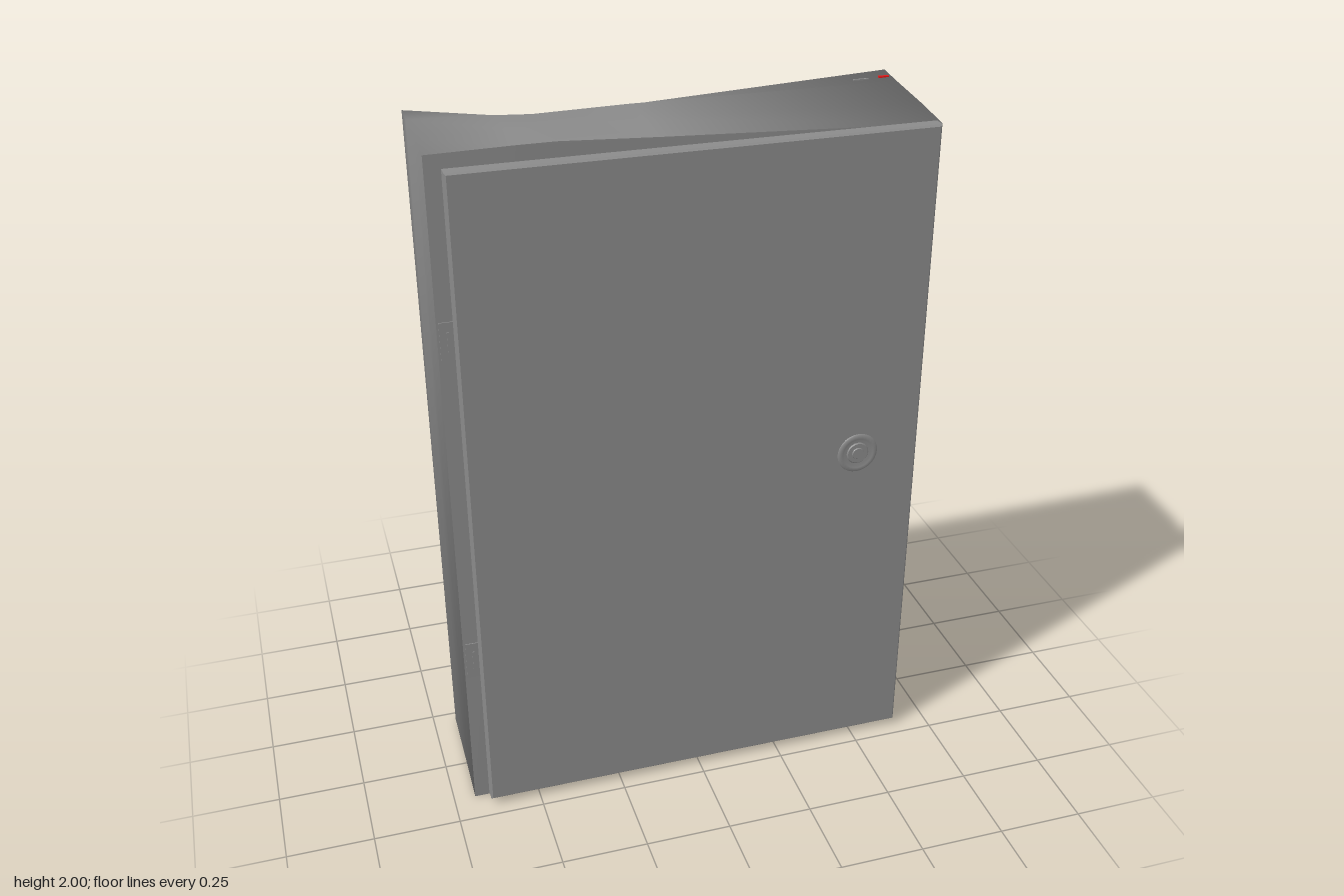
import * as THREE from 'three';

export function createModel() {
  const root = new THREE.Group();
  const grey = new THREE.MeshStandardMaterial({ color: 0x8b8b8b });
  grey.name = 'painted grey steel';
  const red = new THREE.MeshStandardMaterial({ color: 0xff1c1c });
  red.name = 'red marker';

  const add = (name, geometry, material, x = 0, y = 0, z = 0, parent = root) => {
    const mesh = new THREE.Mesh(geometry, material);
    mesh.name = name;
    mesh.position.set(x, y, z);
    parent.add(mesh);
    return mesh;
  };
  const box = (w, h, d) => new THREE.BoxGeometry(w, h, d);

  // Cross-section of the cabinet; tops are heights along the warped top, from +x to -x.
  const topX = [-0.1, -0.36, -0.46];
  const ring = (x0, x1, y0, z, tops) => [
    [x0, y0, z], [x1, y0, z], [x1, tops[0], z],
    ...topX.map((x, i) => [x, tops[i + 1], z]),
    [x0, tops[4], z],
  ];
  const front = ring(-0.688, 0.667, 0.005, 0.157, [1.95, 1.986, 2, 2, 1.997]);
  const rings = [
    front,
    ring(-0.686, 0.664, 0.007, 0.03, [1.967, 1.994, 2, 2, 1.997]),
    ring(-0.684, 0.661, 0.009, -0.13, [1.983, 1.986, 1.982, 1.988, 1.997]),
    ring(-0.683, 0.66, 0.01, -0.212, [1.992, 1.957, 1.942, 1.958, 1.997]),
    ring(-0.64, 0.62, 0.05, -0.212, [1.95, 1.938, 1.93, 1.932, 1.935]),
    ring(-0.64, 0.62, 0.05, -0.172, [1.95, 1.938, 1.93, 1.932, 1.935]),
  ];

  // Walls, rear rim and dished back, sharing vertices for soft shading.
  const n = front.length;
  const index = [];
  for (let r = 0; r < rings.length - 1; r++) {
    for (let i = 0; i < n; i++) {
      const j = (i + 1) % n;
      const a = r * n + i, b = r * n + j;
      index.push(a, a + n, b + n, a, b + n, b);
    }
  }
  const centre = rings.length * n;
  for (let i = 0; i < n; i++) {
    index.push(centre - n + i, centre, centre - n + ((i + 1) % n));
  }
  const shell = new THREE.BufferGeometry();
  const points = [...rings.flat(), [-0.05, 0.47, -0.05]];
  shell.setAttribute('position', new THREE.Float32BufferAttribute(points.flat(), 3));
  shell.setIndex(index);
  shell.computeVertexNormals();
  add('cabinetShell', shell, grey);

  // Flat front behind the door
  const face = new THREE.Shape(front.map(([x, y]) => new THREE.Vector2(x, y)));
  add('cabinetFront', new THREE.ShapeGeometry(face), grey, 0, 0, 0.157);

  // Door leaf with a thin seal behind it
  const door = new THREE.Group();
  door.name = 'door';
  root.add(door);
  add('doorSeal', box(1.24, 1.9, 0.014), grey, -0.003, 0.993, 0.163, door);
  const leaf = new THREE.Shape();
  leaf.moveTo(-0.642, 0.03).lineTo(0.639, 0.03).lineTo(0.639, 1.959).lineTo(-0.642, 1.959);
  add('doorLeaf', new THREE.ExtrudeGeometry(leaf, {
    depth: 0.032, bevelThickness: 0.005, bevelSize: 0.005, bevelSegments: 1,
  }), grey, 0, 0, 0.171, door);

  // Round lock: raised ring, dished cup and small ringed barrel
  const lock = new THREE.Group();
  lock.name = 'lock';
  lock.position.set(0.462, 1.025, 0.207);
  lock.rotation.x = Math.PI / 2;
  door.add(lock);
  const profile = [[0.061, 0], [0.057, 0.005], [0.046, 0.006], [0.04, 0.002], [0, 0.002]]
    .map(([r, h]) => new THREE.Vector2(r, h));
  add('lockRing', new THREE.LatheGeometry(profile, 28), grey, 0, 0, 0, lock);
  add('lockBarrel', new THREE.CylinderGeometry(0.03, 0.034, 0.004, 20), grey, 0, 0.003, 0, lock);
  add('lockCore', new THREE.CylinderGeometry(0.016, 0.018, 0.003, 16), grey, 0, 0.006, 0, lock);

  // Flat hinge leaves beside the door
  for (const y of [0.507, 1.502]) {
    const hinge = new THREE.Group();
    hinge.name = 'hinge';
    hinge.position.set(-0.662, y, 0.158);
    root.add(hinge);
    add('hingePlate', box(0.04, 0.115, 0.004), grey, 0, 0, 0, hinge);
    add('hingePin', box(0.006, 0.06, 0.004), grey, 0.002, 0, 0.003, hinge);
  }

  // Earth bolt on the left wall
  const bolt = add('sideBolt', new THREE.CylinderGeometry(0.015, 0.015, 0.03, 12), grey, 0.672, 1.878, -0.094);
  bolt.rotation.z = Math.PI / 2;

  // Edges of the mounting plate showing through the top and back
  add('topPlateEdge', box(0.045, 0.004, 0.006), grey, 0.57, 1.984, -0.165);
  add('topMarker', box(0.03, 0.004, 0.009), red, 0.637, 1.987, -0.165);
  add('upperBackMarker', box(0.014, 0.012, 0.006), red, 0.535, 1.705, -0.163);
  const sideMarker = add('lowerBackMarker', new THREE.PlaneGeometry(0.022, 0.036), red, -0.53, 0.39, -0.163);
  sideMarker.rotation.y = Math.PI / 2;

  return root;
}
